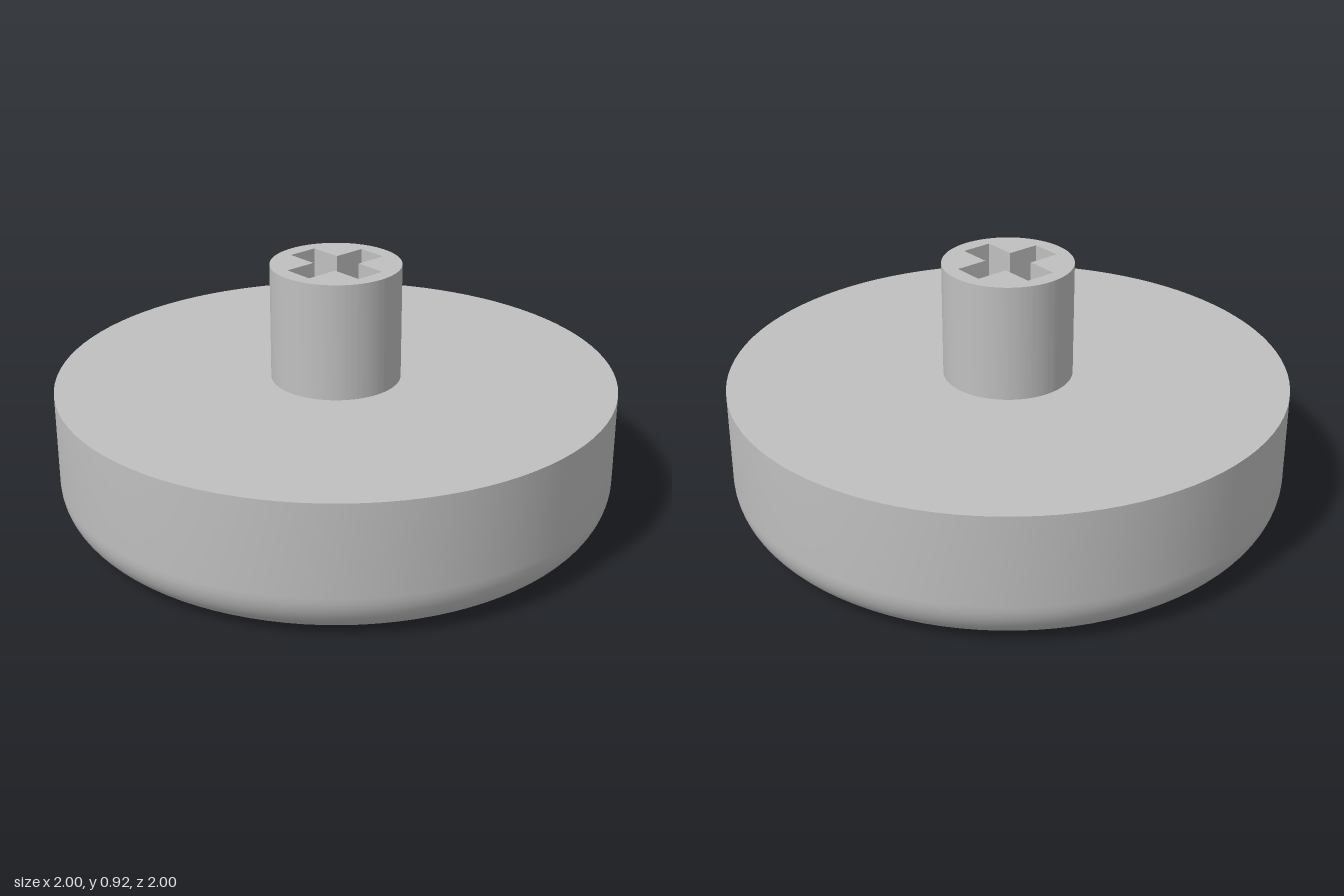
import * as THREE from 'three';
import { toCreasedNormals } from 'three/addons/utils/BufferGeometryUtils.js';

const R = 1, FILLET = 0.17, TOP = 0.5;       // disc
const STEM_R = 0.232, STEM_TOP = 0.92;       // stem
const SLOT_DEPTH = 0.35, RECESS = 0.05;      // cut depths
const SEG = 96;

const rad = THREE.MathUtils.degToRad;

function polygon(points) {
  return new THREE.Shape(points.map(([x, y]) => new THREE.Vector2(x, y)));
}

function disc(radius, holes) {
  const s = new THREE.Shape();
  s.absarc(0, 0, radius, 0, Math.PI * 2, false);
  s.holes.push(...holes);
  return s;
}

function extrude(shape, depth) {
  return new THREE.ExtrudeGeometry(shape, { depth, bevelEnabled: false, curveSegments: SEG });
}

export function createModel() {
  const group = new THREE.Group();
  const grey = new THREE.MeshStandardMaterial({ color: 0xc0c0c0 });
  grey.name = 'light grey';

  const add = (name, geometry) => {
    const mesh = new THREE.Mesh(toCreasedNormals(geometry, 0.5), grey);
    mesh.name = name;
    group.add(mesh);
  };

  // Disc: rounded lower edge, straight wall, flat top
  const profile = [];
  for (let i = 0; i <= 12; i++) {
    const a = (i / 12) * Math.PI / 2;
    profile.push(new THREE.Vector2(R - FILLET + FILLET * Math.sin(a), FILLET - FILLET * Math.cos(a)));
  }
  profile.push(new THREE.Vector2(R, TOP), new THREE.Vector2(STEM_R - 0.02, TOP));
  add('disc', new THREE.LatheGeometry(profile, SEG));

  // Underside recesses, drawn in x and z: a triangle and an open ring
  const triangle = polygon([[0.25, -0.235], [0.64, -0.02], [0.25, 0.2]]);
  const ring = new THREE.Shape();
  ring.absarc(-0.22, 0.03, 0.33, rad(23), rad(329), false);
  ring.absarc(-0.22, 0.03, 0.207, rad(327), rad(31), true);
  ring.closePath();

  // Underside plate with the recess walls
  add('underside', extrude(disc(R - FILLET, [triangle, ring]), RECESS)
    .rotateX(Math.PI / 2).translate(0, RECESS, 0));
  // Recess floors
  for (const [name, shape] of [['triangleRecessFloor', triangle], ['ringRecessFloor', ring]]) {
    add(name, new THREE.ShapeGeometry(shape, SEG).rotateX(Math.PI / 2).translate(0, RECESS, 0));
  }

  // Stem with a cross-shaped slot
  const L = 0.175, W = 0.056;
  const cross = polygon([
    [L, -W], [L, W], [W, W], [W, L], [-W, L], [-W, W],
    [-L, W], [-L, -W], [-W, -W], [-W, -L], [W, -L], [W, -W],
  ]);
  add('stem', extrude(disc(STEM_R, [cross]), STEM_TOP - TOP)
    .rotateX(-Math.PI / 2).translate(0, TOP, 0));
  add('slotFloor', new THREE.ShapeGeometry(cross)
    .rotateX(-Math.PI / 2).translate(0, STEM_TOP - SLOT_DEPTH, 0));

  return group;
}
